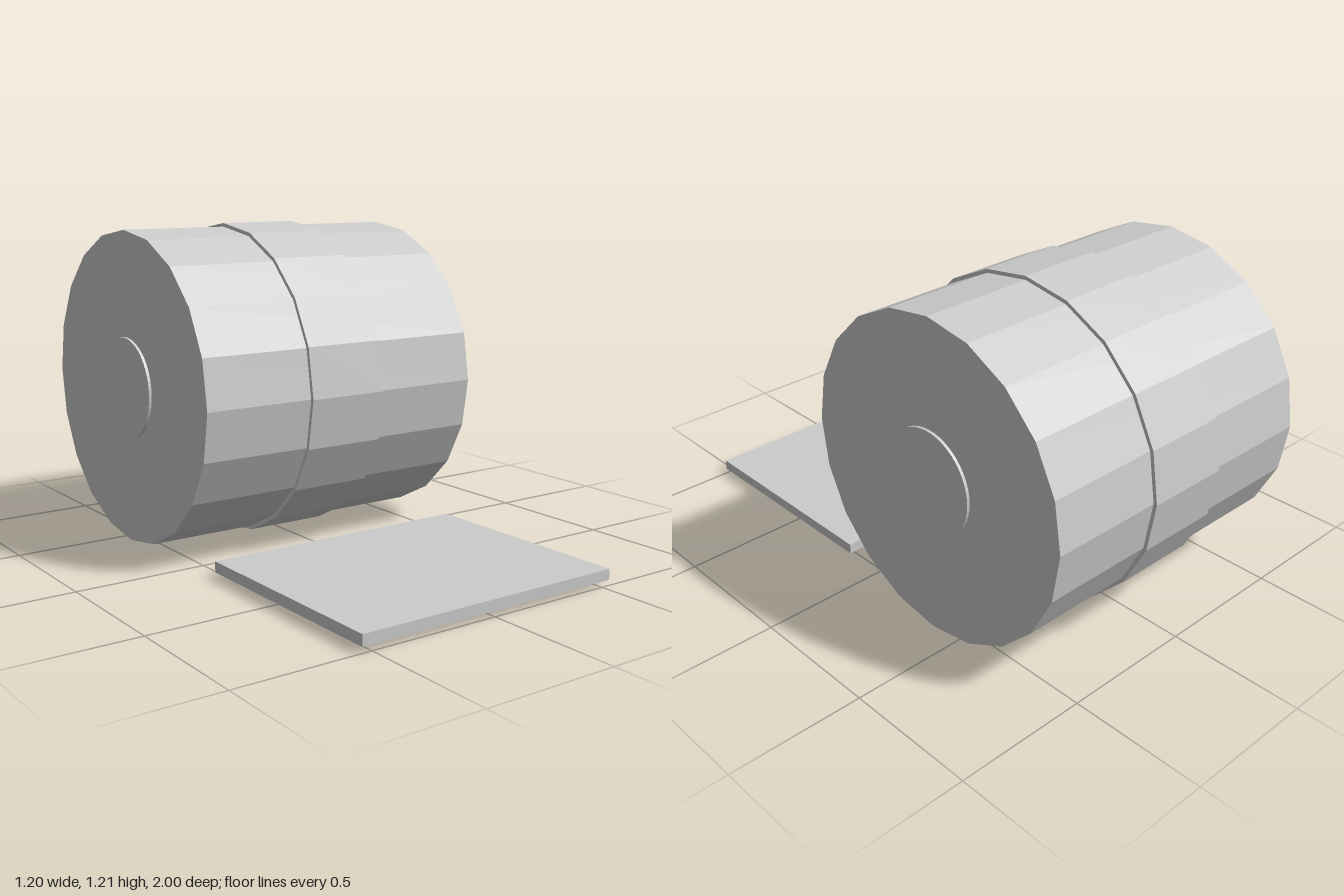
import * as THREE from 'three';

export function createModel() {
  const model = new THREE.Group();
  const grey = new THREE.MeshStandardMaterial({ color: 0xcccccc });
  grey.name = 'light grey';
  grey.flatShading = true;
  const axisY = 0.606, axisZ = -0.394;

  // Cylinder lying along x, centred on the roll's axis
  function roll(name, radius, width, sides) {
    const geometry = new THREE.CylinderGeometry(radius, radius, width, sides);
    geometry.rotateZ(Math.PI / 2);
    const mesh = new THREE.Mesh(geometry, grey);
    mesh.name = name;
    mesh.position.set(0, axisY, axisZ);
    model.add(mesh);
  }

  roll('drum', 0.592, 1.178, 20);
  roll('centreBand', 0.606, 0.32, 20);
  roll('hub', 0.193, 1.2, 48);

  // Flat slab floating just above the ground in front of the drum
  const slab = new THREE.Mesh(new THREE.BoxGeometry(1.07, 0.04, 0.856), grey);
  slab.name = 'slab';
  slab.position.set(0, 0.04, 0.572);
  model.add(slab);

  return model;
}
